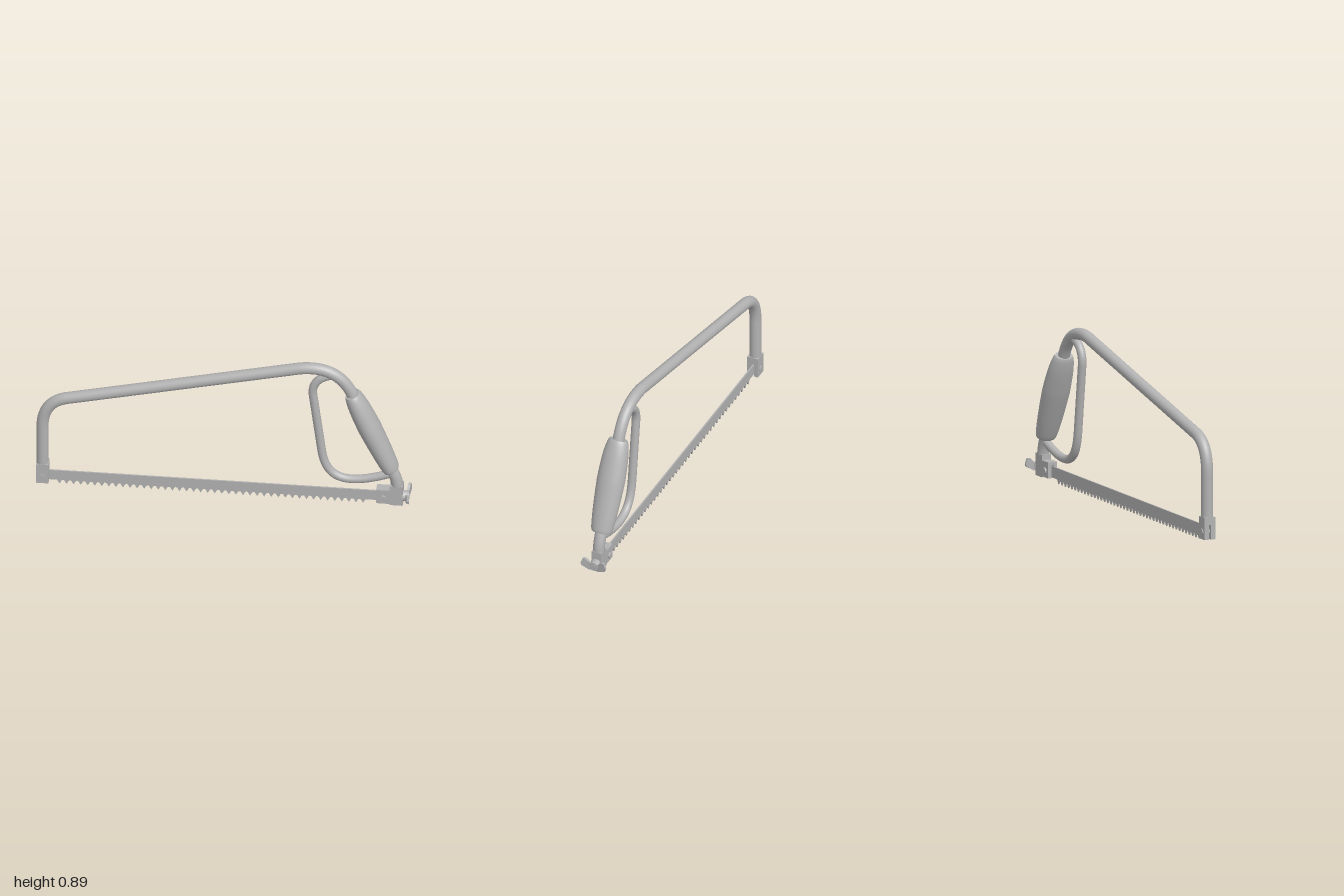
import * as THREE from 'three';

const V = (x, y, z = 0) => new THREE.Vector3(x, y, z);

export function createModel() {
  const saw = new THREE.Group();
  saw.name = 'bowSaw';
  const steel = new THREE.MeshStandardMaterial({ color: 0xb2b2b2 });
  steel.name = 'grey steel';

  const add = (name, geometry, x = 0, y = 0, z = 0, parent = saw) => {
    const mesh = new THREE.Mesh(geometry, steel);
    mesh.name = name;
    mesh.position.set(x, y, z);
    parent.add(mesh);
    return mesh;
  };
  const path = (...curves) => {
    const p = new THREE.CurvePath();
    curves.forEach((c) => p.add(c));
    return p;
  };
  const line = (a, b) => new THREE.LineCurve3(a, b);
  const bend = (a, b, c) => new THREE.QuadraticBezierCurve3(a, b, c);
  const shapeOf = (pts) => new THREE.Shape(pts.map(([x, y]) => new THREE.Vector2(x, y)));

  // Bent tube frame, running through the grip
  const top = V(0.687, 0.711), low = V(0.898, 0.23);
  const frame = path(
    line(V(-0.968, 0.1), V(-0.968, 0.366)),
    bend(V(-0.968, 0.366), V(-0.968, 0.533), V(-0.837, 0.564)),
    line(V(-0.837, 0.564), V(0.41, 0.857)),
    bend(V(0.41, 0.857), V(0.61, 0.89), top),
    line(top, low),
    bend(low, V(0.926, 0.175), V(0.928, 0.13)),
  );
  add('frameTube', new THREE.TubeGeometry(frame, 160, 0.032, 24));

  // Hand guard loop
  const guard = path(
    bend(V(0.605, 0.83), V(0.56, 0.825), V(0.516, 0.796)),
    bend(V(0.516, 0.796), V(0.47, 0.755), V(0.478, 0.69)),
    line(V(0.478, 0.69), V(0.524, 0.33)),
    new THREE.CubicBezierCurve3(V(0.524, 0.33), V(0.547, 0.15), V(0.64, 0.1), V(0.9, 0.205)),
  );
  add('handGuard', new THREE.TubeGeometry(guard, 100, 0.023, 18));

  // Grip: barrel profile, wider across than deep
  const barrel = new THREE.SplineCurve([
    [0.054, -0.26], [0.061, -0.235], [0.07, -0.14], [0.077, 0],
    [0.077, 0.07], [0.071, 0.17], [0.06, 0.235], [0.05, 0.26],
  ].map(([r, y]) => new THREE.Vector2(r, y))).getPoints(28);
  const cap = (y, r) => [new THREE.Vector2(0.025, y), new THREE.Vector2(r, y)];
  const grip = new THREE.Group();
  grip.name = 'grip';
  grip.position.set(0.7925, 0.4705, 0);
  grip.rotation.z = 0.413;
  grip.scale.x = 0.79;
  saw.add(grip);
  add('gripBody', new THREE.LatheGeometry(barrel, 40), 0, 0, 0, grip);
  add('gripLowerEnd', new THREE.LatheGeometry(cap(-0.26, 0.054), 40), 0, 0, 0, grip);
  add('gripUpperEnd', new THREE.LatheGeometry(cap(0.26, 0.05).reverse(), 40), 0, 0, 0, grip);

  // Toothed blade
  const pts = [[0.87, 0.085], [-0.96, 0.085], [-0.96, 0.024]];
  const teeth = 44, start = -0.89, pitch = 1.66 / teeth;
  for (let i = 0; i < teeth; i++) {
    const x = start + i * pitch;
    pts.push([x, 0.024], [x + pitch * 0.35, 0], [x + pitch * 0.7, 0.024]);
  }
  pts.push([0.87, 0.024]);
  add('blade', new THREE.ExtrudeGeometry(shapeOf(pts), { depth: 0.008, bevelEnabled: false }), 0, 0, -0.004);

  // Slotted clamps straddling the blade
  const clamp = (name, x0, x1, y0, y1, half, slotTop) => {
    const shape = shapeOf([
      [-half, y0], [-0.007, y0], [-0.007, slotTop], [0.007, slotTop],
      [0.007, y0], [half, y0], [half, y1], [-half, y1],
    ]);
    const g = new THREE.ExtrudeGeometry(shape, { depth: x1 - x0, bevelEnabled: false });
    g.rotateY(Math.PI / 2);
    add(name, g, x0, 0, 0);
  };
  clamp('frontClamp', -1, -0.933, 0.016, 0.136, 0.032, 0.095);
  clamp('rearClamp', 0.818, 0.89, 0.02, 0.107, 0.027, 0.092);
  add('tensionBlock', new THREE.BoxGeometry(0.07, 0.122, 0.056), 0.925, 0.075, 0);

  // Blade pins
  for (const x of [-0.968, 0.853]) {
    const pin = new THREE.CylinderGeometry(0.018, 0.018, 0.074, 20).rotateX(Math.PI / 2);
    add('bladePin', pin, x, 0.056, 0);
  }

  // Wing nut on the tension screw
  const nut = new THREE.Group();
  nut.name = 'wingNut';
  nut.position.set(0.958, 0.062, 0);
  saw.add(nut);
  const rod = (r0, r1, l) => new THREE.CylinderGeometry(r1, r0, l, 24).rotateZ(-Math.PI / 2);
  add('nutHub', rod(0.031, 0.025, 0.034), 0.017, 0, 0, nut);
  add('screwEnd', rod(0.012, 0.012, 0.04), 0.016, 0, 0, nut);
  const wing = shapeOf([
    [0.005, -0.028], [0.03, -0.026], [0.07, -0.004], [0.073, 0.012],
    [0.062, 0.042], [0.047, 0.04], [0.026, 0.018], [0.005, 0.022],
  ]);
  for (const side of [1, -1]) {
    const g = new THREE.ExtrudeGeometry(wing, { depth: 0.014, bevelEnabled: false });
    // Sweep the wing outwards towards its tip
    const p = g.attributes.position;
    for (let i = 0; i < p.count; i++) p.setZ(i, p.getZ(i) + 0.012 + p.getX(i) * 0.22);
    g.computeVertexNormals();
    g.rotateY(Math.PI / 2);
    const m = add('nutWing', g, 0, 0, 0, nut);
    m.scale.z = side;
  }
  return saw;
}
